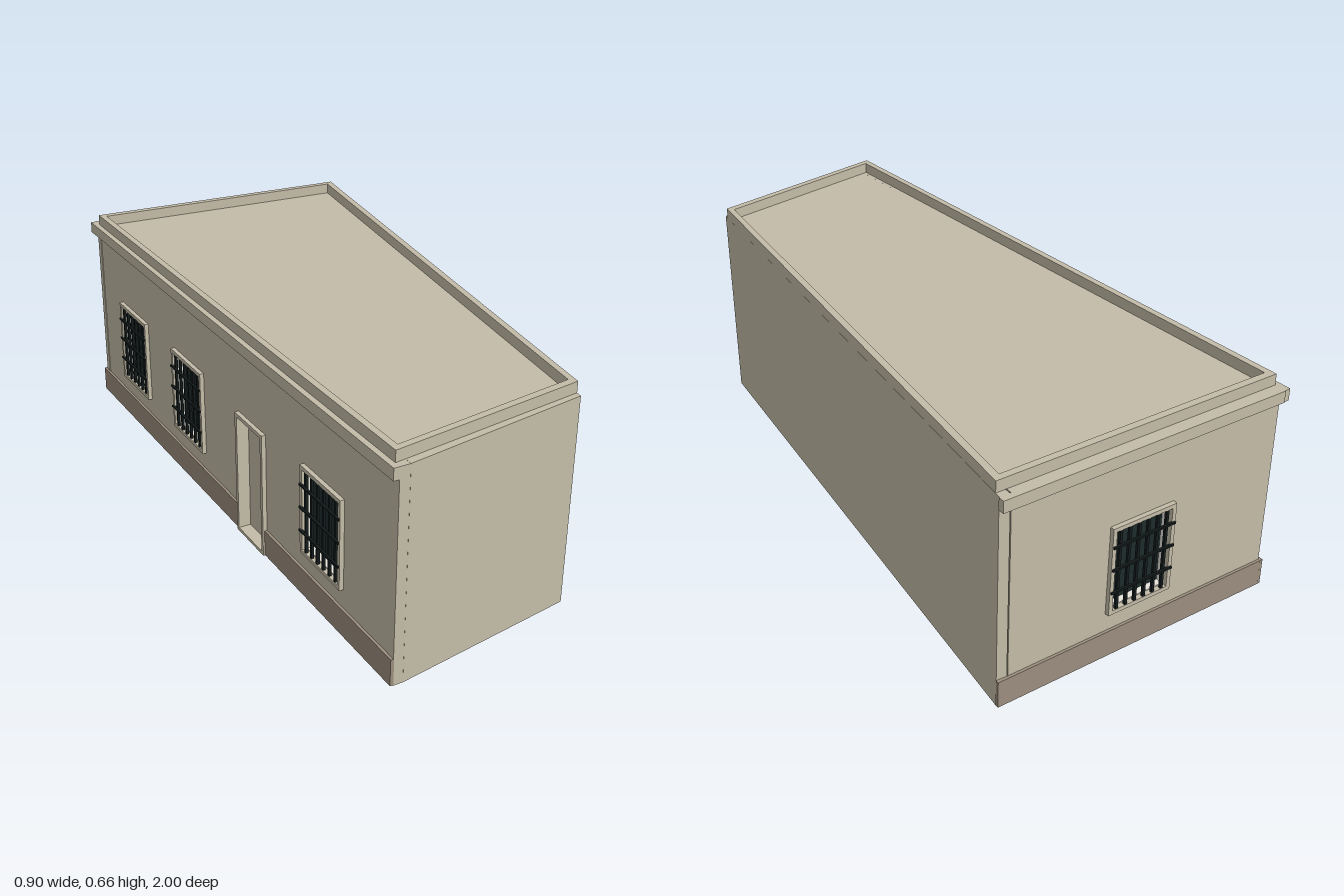
import * as THREE from 'three';

const mat = (name, color) => Object.assign(new THREE.MeshStandardMaterial({ color }), { name });

export function createModel() {
  const plaster = mat('plaster', 0xc4bca8);
  const plinthStone = mat('plinth stone', 0x9b8e7e);
  const glassDark = mat('dark glass', 0x1d2b2c);
  const iron = mat('iron', 0x141b1b);
  const pale = mat('pale reveal', 0xece9e2);
  const model = new THREE.Group();
  model.name = 'building';

  const add = (parent, name, geometry, material) => {
    const mesh = new THREE.Mesh(geometry, material);
    mesh.name = name;
    parent.add(mesh);
    return mesh;
  };

  // Box given by its limits in wall coordinates
  const block = (parent, name, x0, x1, y0, y1, z0, z1, material) =>
    add(parent, name, new THREE.BoxGeometry(x1 - x0, y1 - y0, z1 - z0), material)
      .position.set((x0 + x1) / 2, (y0 + y1) / 2, (z0 + z1) / 2);

  const rectPoints = (x0, x1, y0, y1) =>
    [[x0, y0], [x1, y0], [x1, y1], [x0, y1]].map(([x, y]) => new THREE.Vector2(x, y));

  // Flat panel with rectangular holes
  const panel = (outer, holes, depth) => {
    const shape = new THREE.Shape(rectPoints(...outer));
    holes.forEach((h) => shape.holes.push(new THREE.Path(rectPoints(...h))));
    return new THREE.ExtrudeGeometry(shape, { depth, bevelEnabled: false });
  };

  // Upright prism from plan points [x, z]
  const plan = (points) => points.map(([x, z]) => new THREE.Vector2(x, -z));
  const prism = (points, y0, y1, hole) => {
    const shape = new THREE.Shape(plan(points));
    if (hole) shape.holes.push(new THREE.Path(plan(hole)));
    return new THREE.ExtrudeGeometry(shape, { depth: y1 - y0, bevelEnabled: false })
      .rotateX(-Math.PI / 2).translate(0, y0, 0);
  };

  const TOP = 0.63, THICK = 0.03, TRIM = 0.012, OUT = 0.013;

  // Solid core with the plain front and right walls and the roof
  add(model, 'core', prism([
    [-0.118, 0.9925], [0.43, 0.822], [0.442, -0.982], [0.412, -0.982],
    [0.4145, -0.952], [-0.4, -0.88],
  ], 0, TOP), plaster);

  // Low parapet around the roof
  add(model, 'parapet', prism(
    [[-0.151, 0.977], [0.43, 0.803], [0.441, -0.965], [-0.43, -0.89]], TOP, 0.663,
    [[-0.135, 0.951], [0.411, 0.785], [0.42, -0.943], [-0.407, -0.87]],
  ), plaster);

  // Framed window with glass and an iron grille
  const addWindow = (wall, [x0, x1, y0, y1]) => {
    const g = new THREE.Group();
    g.name = 'window';
    wall.add(g);
    const a = x0 + TRIM, b = x1 - TRIM, c = y0 + TRIM, d = y1 - TRIM;
    add(g, 'windowFrame', panel([x0, x1, y0, y1], [[a, b, c, d]], OUT), plaster);
    add(g, 'reveal', panel([a, b, c, d], [[a + 0.003, b - 0.003, c + 0.003, d - 0.003]], THICK - 0.002), pale)
      .position.z = -THICK;
    block(g, 'glass', a, b, c, d, -0.029, -0.022, glassDark);
    for (let i = 0; i < 6; i++) {
      const x = a + (b - a) * (i + 0.5) / 6;
      block(g, 'verticalBar', x - 0.004, x + 0.004, c, d, 0.004, 0.012, iron);
    }
    for (const y of [0.213, 0.285, 0.355]) {
      block(g, 'crossBar', x0 + 0.002, x1 - 0.002, y - 0.003, y + 0.003, 0.01, 0.018, iron);
    }
  };

  // Framed doorway with a recessed door
  const addDoor = (wall, [x0, x1, y0, y1]) => {
    const g = new THREE.Group();
    g.name = 'doorway';
    wall.add(g);
    add(g, 'doorFrame', panel([x0, x1, y0, y1], [[x0 + TRIM, x1 - TRIM, 0.01, y1 - TRIM]], OUT), plaster);
    block(g, 'door', x0 + TRIM, x1 - TRIM, 0.01, y1 - TRIM, -THICK, -0.025, plaster);
  };

  // Wall slab between two plan points, outward side on local +z
  const facade = (name, [ax, az], [bx, bz], windows, door, extendStart) => {
    const wall = new THREE.Group();
    wall.name = name;
    wall.position.set(ax, 0, az);
    wall.rotation.y = Math.atan2(az - bz, bx - ax);
    model.add(wall);
    const length = Math.hypot(bx - ax, bz - az);
    const openings = windows.map(([x0, x1]) => [x0, x1, 0.14, 0.412]);
    const inset = ([x0, x1, y0, y1]) => [x0 + TRIM, x1 - TRIM, y0 + TRIM, y1 - TRIM];
    const holes = openings.map(inset);
    if (door) holes.push([door[0] + TRIM, door[1] - TRIM, 0.01, door[3] - TRIM]);
    add(wall, 'wallSlab', panel([0.003, length, 0, TOP], holes, THICK), plaster).position.z = -THICK;
    openings.forEach((o) => addWindow(wall, o));

    // Plinth, split around the doorway, and cornice
    const spans = door ? [[0, door[0]], [door[1], length]] : [[0, length]];
    spans.forEach(([s, e]) =>
      block(wall, 'plinth', s === 0 ? -(extendStart || 0.008) : s, e, 0.002, 0.083, -0.002, 0.008, plinthStone));
    block(wall, 'cornice', -(extendStart || 0.015), length, 0.595, TOP, -0.002, 0.017, plaster);
    if (door) addDoor(wall, door);
  };

  facade('leftWall', [-0.433, -0.91], [-0.148, 0.997],
    [[0.2, 0.415], [0.624, 0.84], [1.466, 1.68]], [1.075, 1.245, 0, 0.392]);
  facade('backWall', [0.412, -0.982], [-0.433, -0.91], [[0.305, 0.508]], null, 0.031);

  return model;
}
